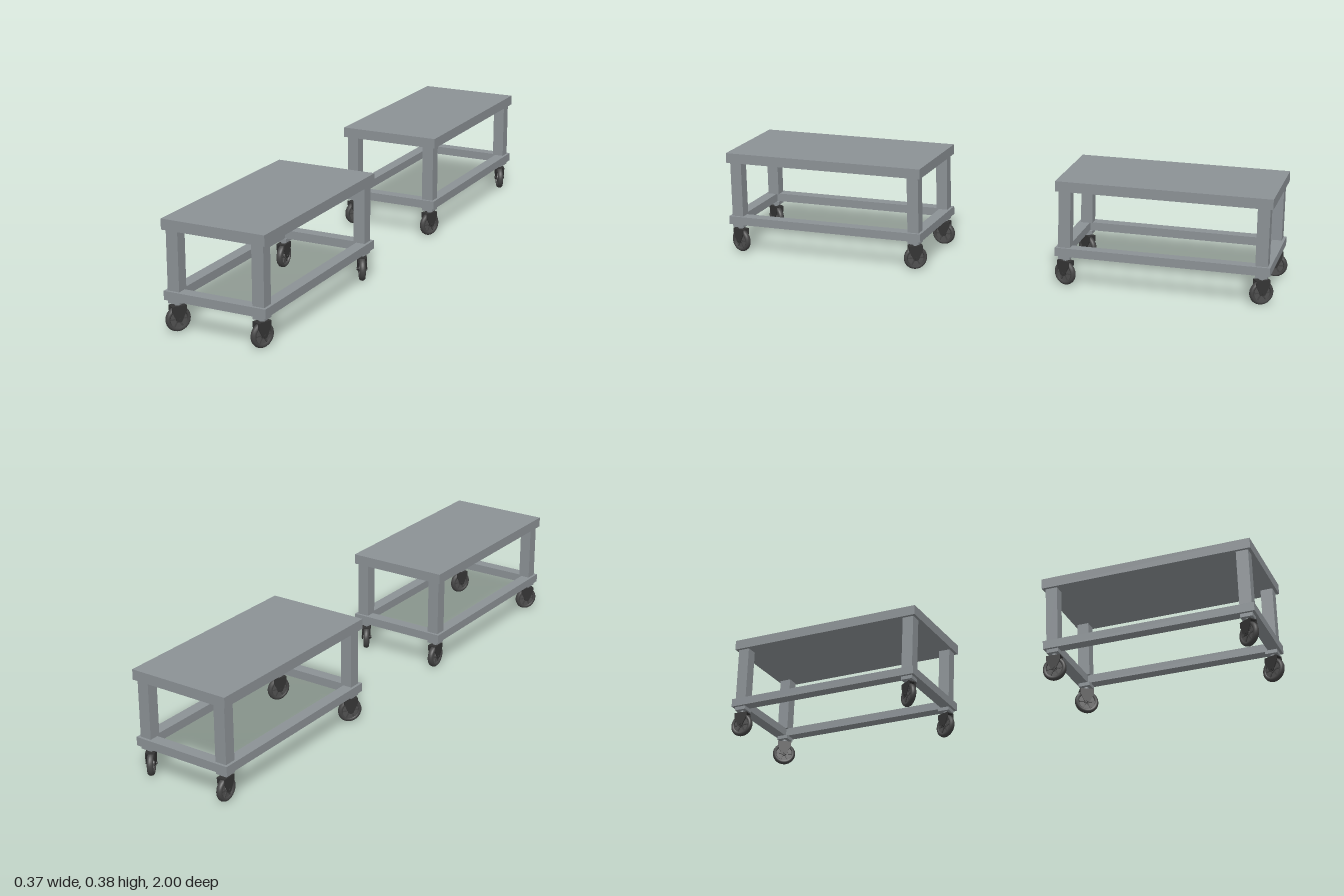
import * as THREE from 'three';

const mat = (name, color, extra) => Object.assign(new THREE.MeshStandardMaterial({ color }), { name }, extra);

export function createModel() {
  const steel = mat('grey steel', 0x8b9195);
  const rubber = mat('dark rubber', 0x454545);
  const forkMat = mat('black fork', 0x343434);
  const hubMat = mat('hub grey', 0x505050);

  const add = (parent, name, geo, material, x = 0, y = 0, z = 0) => {
    const m = new THREE.Mesh(geo, material);
    m.name = name;
    m.position.set(x, y, z);
    parent.add(m);
    return m;
  };
  const box = (w, h, d) => new THREE.BoxGeometry(w, h, d);

  // Tyre cross-section (radius, half width), turned around the axle
  const section = [[0.029, -0.008], [0.033, -0.0105], [0.038, -0.0095], [0.041, -0.006], [0.0425, 0],
    [0.041, 0.006], [0.038, 0.0095], [0.033, 0.0105], [0.029, 0.008], [0.029, -0.008]];
  const tyreGeo = new THREE.LatheGeometry(section.map(p => new THREE.Vector2(...p)), 36).rotateX(Math.PI / 2);
  const discGeo = new THREE.CylinderGeometry(0.0295, 0.0295, 0.007, 32).rotateX(Math.PI / 2);
  const hubGeo = new THREE.CylinderGeometry(0.01, 0.01, 0.021, 20).rotateX(Math.PI / 2);
  const axleGeo = new THREE.CylinderGeometry(0.0045, 0.0045, 0.037, 12).rotateX(Math.PI / 2);

  // Tapered fork cheek
  const cheek = new THREE.Shape([[-0.025, 0.088], [-0.025, 0.071], [-0.008, 0.036], [0, 0.033],
    [0.008, 0.036], [0.025, 0.071], [0.025, 0.088]].map(p => new THREE.Vector2(...p)));
  const cheekGeo = new THREE.ExtrudeGeometry(cheek, { depth: 0.003, bevelEnabled: false }).translate(0, 0, -0.0015);

  function makeCaster(angle) {
    const g = new THREE.Group();
    g.name = 'caster';
    add(g, 'mountPlate', box(0.042, 0.013, 0.042), steel, 0, 0.1035, 0);
    add(g, 'swivelStem', new THREE.CylinderGeometry(0.009, 0.009, 0.012, 16), steel, 0, 0.093, 0);

    // Swivelling part: wheel axle lies along local z
    const s = new THREE.Group();
    s.name = 'swivel';
    s.rotation.y = THREE.MathUtils.degToRad(angle);
    g.add(s);
    add(s, 'forkCrown', box(0.05, 0.0035, 0.031), forkMat, 0, 0.0868, 0);
    for (const side of [-1, 1]) add(s, 'forkCheek', cheekGeo, forkMat, 0, 0, side * 0.014);
    add(s, 'tyre', tyreGeo, rubber, 0, 0.0425, 0);
    add(s, 'wheelDisc', discGeo, hubMat, 0, 0.0425, 0);
    add(s, 'hub', hubGeo, hubMat, 0, 0.0425, 0);
    add(s, 'axle', axleGeo, forkMat, 0, 0.0425, 0);
    for (let i = 0; i < 3; i++) {
      add(s, 'spokes', box(0.056, 0.005, 0.013), rubber, 0, 0.0425, 0).rotation.z = i * Math.PI / 3;
    }
    return g;
  }

  // Corner x sign, z sign and swivel angle in degrees
  const corners = [[1, 1, 68], [-1, 1, 56], [1, -1, 122], [-1, -1, 92]];

  function makeCart() {
    const g = new THREE.Group();
    g.name = 'cart';
    const W = 0.369, L = 0.745, bar = 0.042;
    add(g, 'tableTop', box(W, 0.036, L), steel, 0, 0.36, 0);
    // Lower frame
    for (const s of [-1, 1]) {
      add(g, 'sideRail', box(bar, 0.03, L - 0.002), steel, s * (W / 2 - 0.001 - bar / 2), 0.125, 0);
      add(g, 'endRail', box(W - 2 * bar - 0.002, 0.03, bar), steel, 0, 0.125, s * (L / 2 - 0.001 - bar / 2));
    }
    // Legs and casters
    for (const [sx, sz, angle] of corners) {
      const x = sx * 0.153, z = sz * 0.341;
      add(g, 'leg', box(0.042, 0.203, 0.042), steel, x, 0.2405, z);
      const c = makeCaster(angle);
      c.position.set(x, 0, z);
      g.add(c);
    }
    return g;
  }

  const model = new THREE.Group();
  model.name = 'pairOfCarts';
  for (const z of [0.615, -0.621]) {
    const cart = makeCart();
    cart.position.z = z;
    model.add(cart);
  }
  return model;
}
